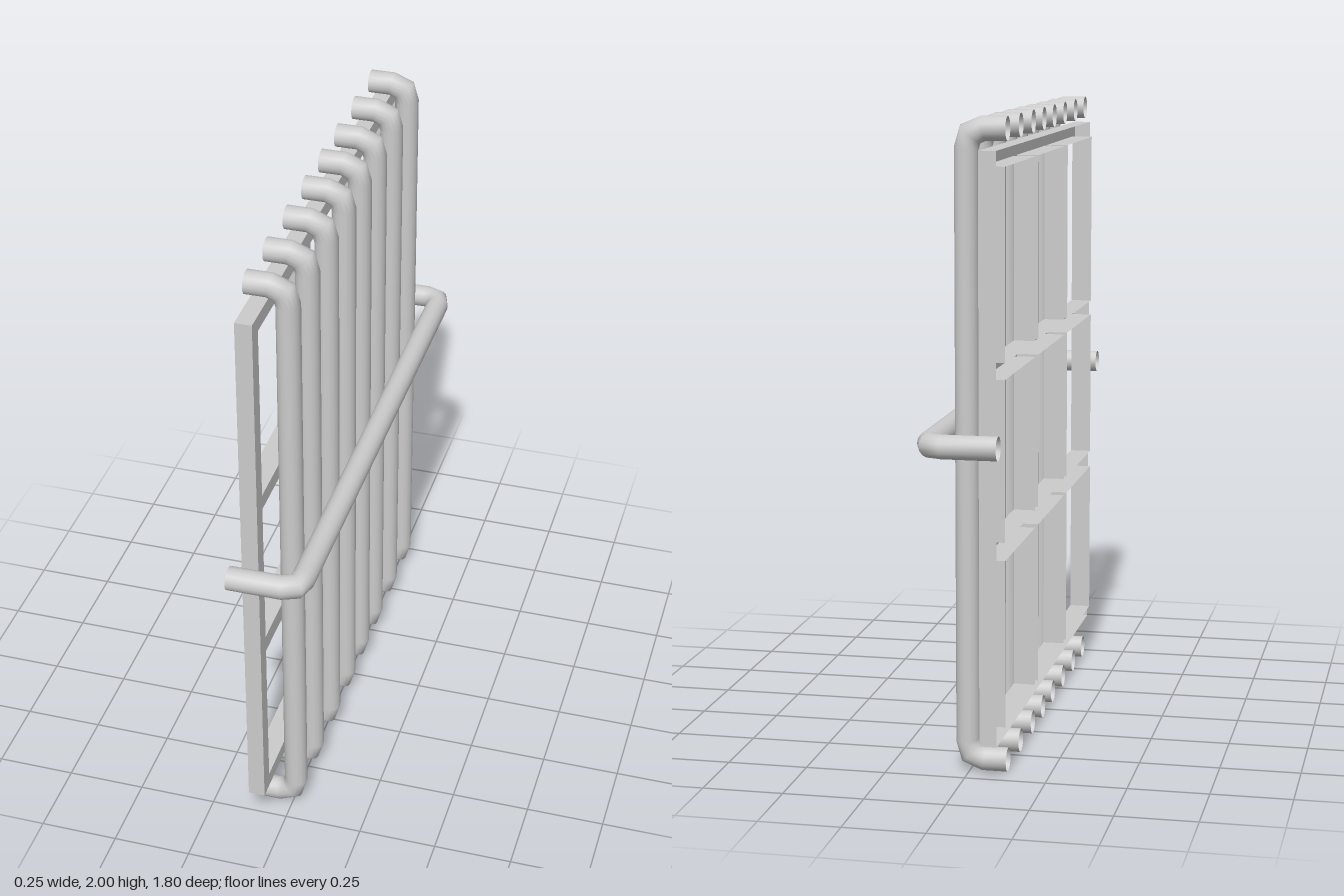
import * as THREE from 'three';
import { toCreasedNormals } from 'three/addons/utils/BufferGeometryUtils.js';

const R = 0.037, SIDES = 16;
const material = new THREE.MeshStandardMaterial({ color: 0xcccccc, side: THREE.DoubleSide });

// Round open-ended rod swept along a flat [x, y] path with mitred corners
function rodGeometry(path) {
  const pts = path.map(([x, y]) => new THREE.Vector2(x, y));
  const pos = [], index = [];
  const n = pts.length;
  pts.forEach((p, i) => {
    const dIn = i > 0 ? p.clone().sub(pts[i - 1]) : pts[1].clone().sub(p);
    const dOut = i < n - 1 ? pts[i + 1].clone().sub(p) : dIn.clone();
    const t = dIn.normalize().clone().add(dOut.normalize()).normalize();
    const stretch = 1 / t.dot(dIn);
    for (let s = 0; s < SIDES; s++) {
      const u = (s / SIDES) * Math.PI * 2;
      const k = Math.cos(u) * R * stretch;
      pos.push(p.x - t.y * k, p.y + t.x * k, Math.sin(u) * R);
    }
  });
  for (let i = 0; i < n - 1; i++) {
    for (let s = 0; s < SIDES; s++) {
      const a = i * SIDES + s, b = i * SIDES + (s + 1) % SIDES;
      index.push(a, b, a + SIDES, b, b + SIDES, a + SIDES);
    }
  }
  const g = new THREE.BufferGeometry();
  g.setAttribute('position', new THREE.Float32BufferAttribute(pos, 3));
  g.setIndex(index);
  g.computeVertexNormals();
  return g;
}

function rectangle(target, [z0, y0, z1, y1]) {
  target.moveTo(-z0, y0);
  target.lineTo(-z1, y0);
  target.lineTo(-z1, y1);
  target.lineTo(-z0, y1);
  target.closePath();
  return target;
}

// Four thin walls round a rectangle, running from xBack to xFront
function wallGeometry([z0, y0, z1, y1], xBack, xFront) {
  const ring = new THREE.CylinderGeometry(Math.SQRT1_2, Math.SQRT1_2, 1, 4, 1, true);
  ring.rotateY(Math.PI / 4).scale(y1 - y0, xFront - xBack, z1 - z0).rotateZ(Math.PI / 2);
  ring.translate((xBack + xFront) / 2, (y0 + y1) / 2, (z0 + z1) / 2);
  return toCreasedNormals(ring, 0.1);
}

export function createModel() {
  const model = new THREE.Group();
  const add = (name, geometry) => {
    const mesh = new THREE.Mesh(geometry, material);
    mesh.name = name;
    model.add(mesh);
    return mesh;
  };

  // Window lattice: a pierced front plate with hollow, open-backed members
  const faceX = -0.057;
  const outline = [-0.797, 0.118, 0.795, 1.906];
  const columns = [[-0.745, -0.28], [-0.23, 0.228], [0.275, 0.743]];
  const rows = [[0.166, 0.682], [0.738, 1.23], [1.28, 1.857]];
  const plate = rectangle(new THREE.Shape(), outline);
  add('frameOuterWall', wallGeometry(outline, -0.11, faceX));
  for (const [z0, z1] of columns) {
    for (const [y0, y1] of rows) {
      const opening = [z0, y0, z1, y1];
      plate.holes.push(rectangle(new THREE.Path(), opening));
      // Opening walls stand out a little behind the frame
      add('openingWall', wallGeometry(opening, -0.126, faceX));
    }
  }
  add('framePlate', new THREE.ShapeGeometry(plate).rotateY(Math.PI / 2).translate(faceX, 0, 0));

  // Upright bars with both ends bent back to the wall
  const barGeometry = rodGeometry([
    [-0.117, 0.037], [-0.045, 0.037], [-0.004, 0.054], [0.008, 0.095],
    [0.008, 1.905], [-0.004, 1.946], [-0.045, 1.963], [-0.117, 1.963],
  ]);
  for (const z of [0.66, 0.47, 0.275, 0.086, -0.09, -0.266, -0.462, -0.66]) {
    add('uprightBar', barGeometry).position.z = z;
  }

  // Cross bar in front of the uprights
  const crossGeometry = rodGeometry([
    [-0.13, -0.863], [0.037, -0.863], [0.076, -0.847], [0.088, -0.81],
    [0.088, 0.81], [0.076, 0.847], [0.037, 0.863], [-0.13, 0.863],
  ]);
  crossGeometry.rotateX(Math.PI / 2);
  add('crossBar', crossGeometry).position.y = 1.045;

  return model;
}
